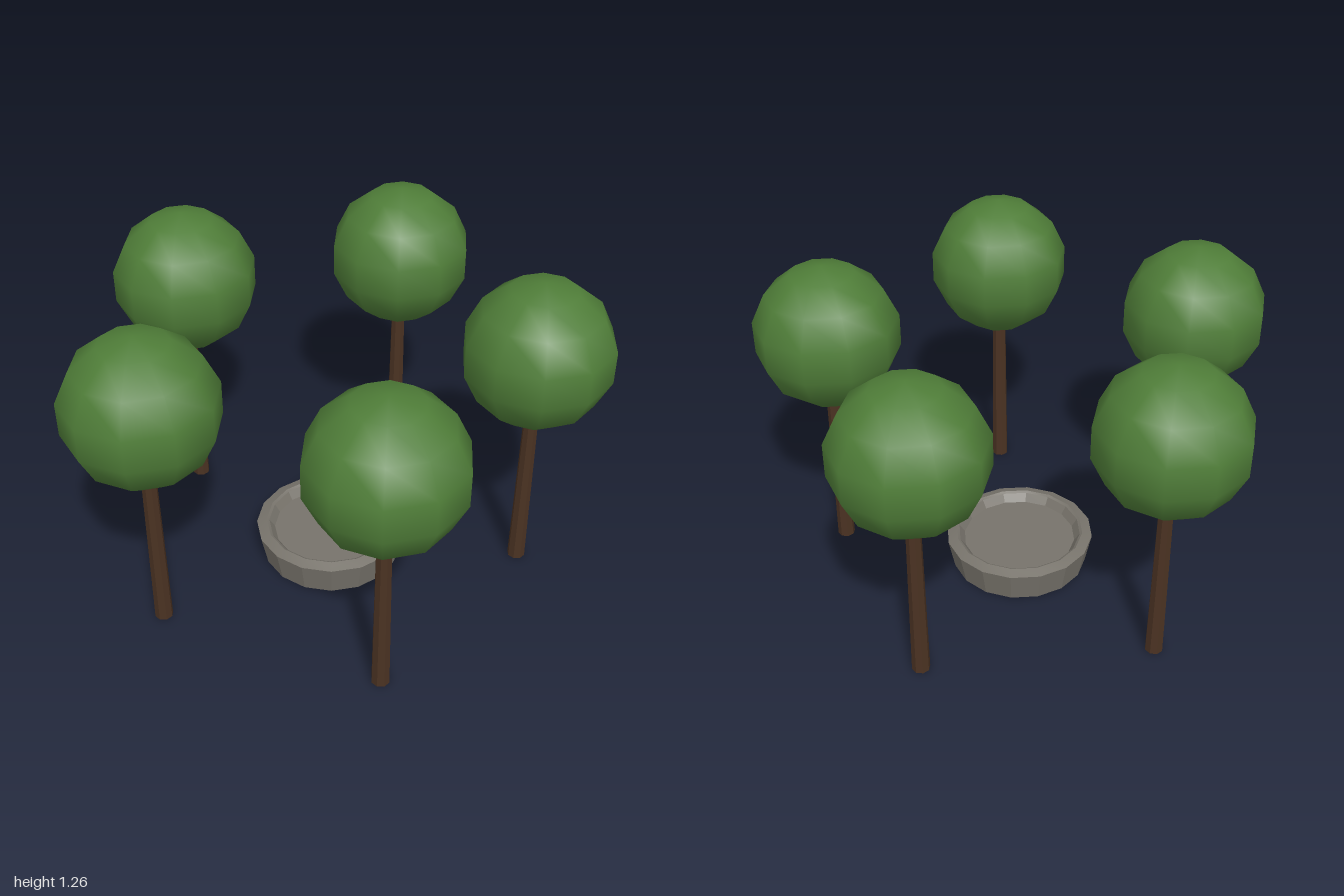
import * as THREE from 'three';
import { toCreasedNormals } from 'three/addons/utils/BufferGeometryUtils.js';

export function createModel() {
  const group = new THREE.Group();
  const bark = new THREE.MeshStandardMaterial({ color: 0x4a3222 });
  const leaf = new THREE.MeshStandardMaterial({ color: 0x4f7d38 });
  const stone = new THREE.MeshStandardMaterial({ color: 0x77736b, side: THREE.DoubleSide });

  const centreZ = 0.07;
  const ringRadius = 0.755;
  const treeCount = 5;

  // Tapered trunk and ball-shaped crown, shared by all trees
  const trunkHeight = 0.78;
  const trunkGeo = toCreasedNormals(
    new THREE.CylinderGeometry(0.027, 0.035, trunkHeight, 8), 0.5);
  const crownGeo = new THREE.SphereGeometry(0.287, 10, 7);

  function makeTree(x, z) {
    const tree = new THREE.Group();
    tree.name = 'tree';
    const trunk = new THREE.Mesh(trunkGeo, bark);
    trunk.name = 'trunk';
    trunk.position.y = trunkHeight / 2;
    const crown = new THREE.Mesh(crownGeo, leaf);
    crown.name = 'crown';
    crown.position.y = 0.974;
    tree.add(trunk, crown);
    tree.position.set(x, 0, z);
    return tree;
  }

  // Ring of trees, the first one at the back
  for (let i = 0; i < treeCount; i++) {
    const a = (i / treeCount) * Math.PI * 2;
    group.add(makeTree(Math.sin(a) * ringRadius, centreZ - Math.cos(a) * ringRadius));
  }

  // Shallow basin in the middle: flared wall, bevelled rim, sunken floor, open underneath
  const profile = [
    [0.275, 0], [0.3, 0.125], [0.26, 0.138], [0.25, 0.132], [0.228, 0.1], [0, 0.1],
  ].map(([r, y]) => new THREE.Vector2(r, y));
  const basin = new THREE.Mesh(
    toCreasedNormals(new THREE.LatheGeometry(profile, 16), 0.3), stone);
  basin.name = 'basin';
  basin.position.z = centreZ;
  group.add(basin);

  return group;
}
